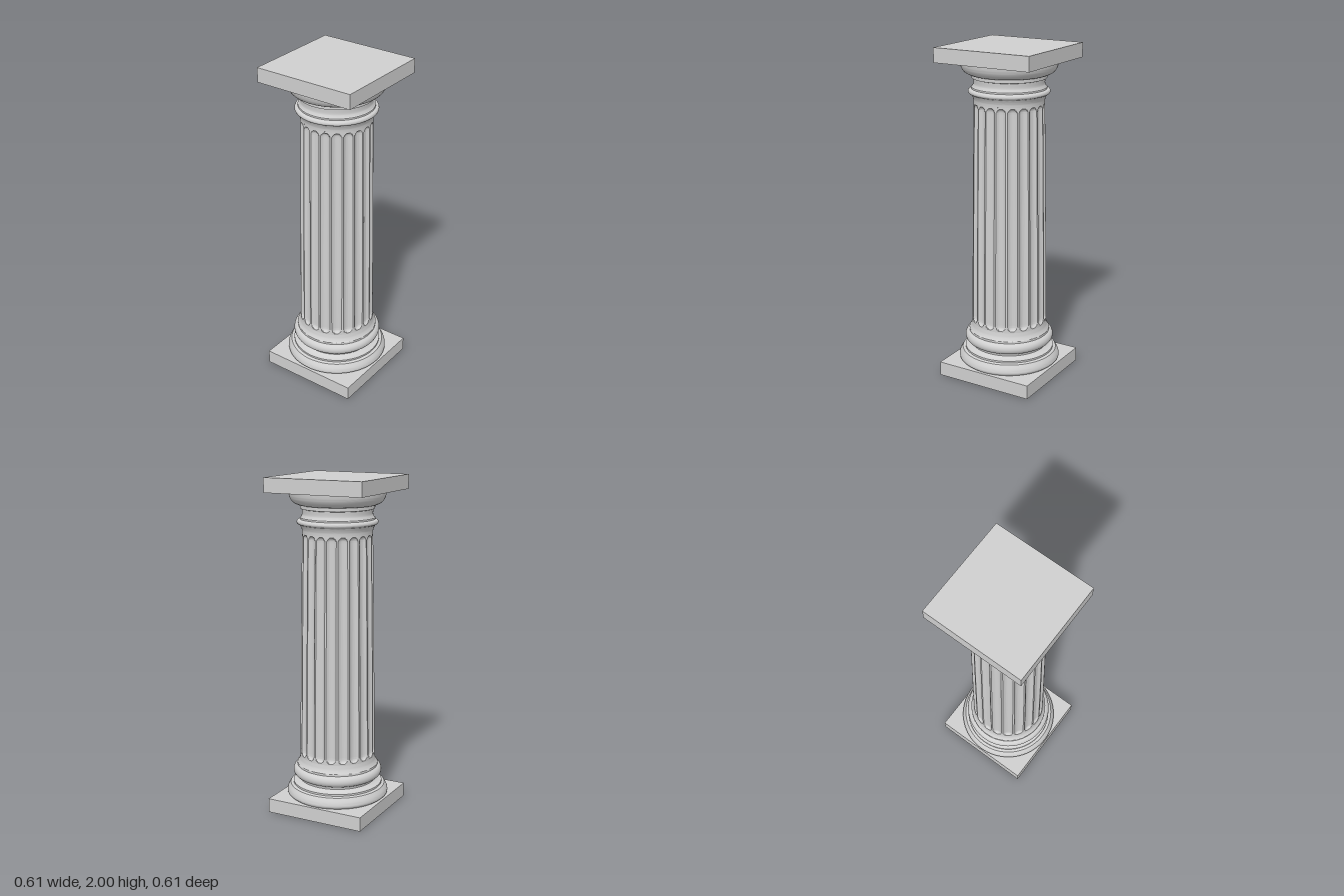
import * as THREE from 'three';
import { mergeVertices, toCreasedNormals } from 'three/addons/utils/BufferGeometryUtils.js';

const FLUTES = 20;
const SHAFT_BOTTOM = 0.33, SHAFT_TOP = 1.68;

// Half-round moulding bulging outwards between two heights
function torusArc(r, y0, y1, bulge, n = 10) {
  const pts = [];
  for (let i = 0; i <= n; i++) {
    const a = -Math.PI / 2 + (Math.PI * i) / n;
    pts.push([r + bulge * Math.cos(a), (y0 + y1) / 2 + ((y1 - y0) / 2) * Math.sin(a)]);
  }
  return pts;
}

// Smooth curve through a few profile points
function sweep(points, n = 10) {
  const curve = new THREE.SplineCurve(points.map(([r, y]) => new THREE.Vector2(r, y)));
  return curve.getPoints(n).map((p) => [p.x, p.y]);
}

function turned(profile) {
  const geo = new THREE.LatheGeometry(profile.map(([r, y]) => new THREE.Vector2(r, y)), 80);
  return toCreasedNormals(geo, 0.6);
}

// Tapered shaft with round-ended flutes pressed into it
function flutedShaft() {
  const ys = [];
  const ends = 14, endLength = 0.06;
  for (let i = 0; i <= ends; i++) ys.push(SHAFT_BOTTOM + (endLength * i) / ends);
  for (let i = 1; i < 8; i++) {
    ys.push(SHAFT_BOTTOM + endLength + ((SHAFT_TOP - SHAFT_BOTTOM - 2 * endLength) * i) / 8);
  }
  for (let i = ends; i >= 0; i--) ys.push(SHAFT_TOP - (endLength * i) / ends);

  const rows = ys.length - 1;
  let geo = new THREE.CylinderGeometry(1, 1, 1, FLUTES * 14, rows, true);
  const pos = geo.attributes.position;
  const pitch = (Math.PI * 2) / FLUTES;
  for (let i = 0; i < pos.count; i++) {
    const row = Math.round((pos.getY(i) + 0.5) * rows);
    const y = ys[row];
    const t = (y - SHAFT_BOTTOM) / (SHAFT_TOP - SHAFT_BOTTOM);
    const radius = 0.225 - 0.02 * Math.pow(t, 1.2);
    const angle = Math.atan2(pos.getX(i), pos.getZ(i));
    const across = (angle - Math.round(angle / pitch) * pitch) * radius;
    const half = 0.37 * pitch * radius;
    const low = SHAFT_BOTTOM + 0.01 + half, high = SHAFT_TOP - 0.01 - half;
    const along = Math.max(low - y, 0, y - high);
    const d = Math.min(1, Math.hypot(across, along) / half);
    const r = radius - 0.016 * Math.sqrt(1 - d * d);
    pos.setXYZ(i, Math.sin(angle) * r, y, Math.cos(angle) * r);
  }
  geo.deleteAttribute('uv');
  geo.deleteAttribute('normal');
  geo = mergeVertices(geo, 1e-5);
  return toCreasedNormals(geo, 0.6);
}

export function createModel() {
  const column = new THREE.Group();
  column.name = 'column';
  const stone = new THREE.MeshStandardMaterial({ color: 0xd0d0d0 });
  stone.name = 'pale stone';

  const add = (name, geometry, y = 0) => {
    const mesh = new THREE.Mesh(geometry, stone);
    mesh.name = name;
    mesh.position.y = y;
    column.add(mesh);
  };

  // Square slabs at both ends
  add('plinth', new THREE.BoxGeometry(0.614, 0.085, 0.614), 0.0425);
  add('abacus', new THREE.BoxGeometry(0.614, 0.085, 0.614), 1.9575);

  // Base: large torus, hollow, small torus, flare into the shaft
  add('baseMoulding', turned([
    [0.27, 0.08],
    ...sweep([[0.29, 0.085], [0.305, 0.1], [0.301, 0.125], [0.285, 0.152]]),
    [0.268, 0.157], [0.268, 0.168],
    ...sweep([[0.25, 0.17], [0.228, 0.184], [0.235, 0.203]], 8),
    ...torusArc(0.237, 0.203, 0.27, 0.03),
    [0.243, 0.27], [0.243, 0.283],
    ...sweep([[0.24, 0.285], [0.23, 0.305], [0.225, 0.33]], 8),
  ]));

  add('flutedShaft', flutedShaft());

  // Capital: flare, ring, neck, fillet and spreading echinus
  add('capitalMoulding', turned([
    ...sweep([[0.205, 1.68], [0.207, 1.7], [0.217, 1.722]], 8),
    [0.222, 1.726],
    ...torusArc(0.222, 1.727, 1.755, 0.014),
    [0.217, 1.757], [0.217, 1.766],
    ...sweep([[0.213, 1.768], [0.205, 1.785], [0.206, 1.815]], 8),
    [0.216, 1.818], [0.216, 1.838],
    [0.23, 1.84],
    ...sweep([[0.235, 1.842], [0.258, 1.855], [0.274, 1.878], [0.28, 1.9]]),
    [0.28, 1.918],
  ]));

  return column;
}
